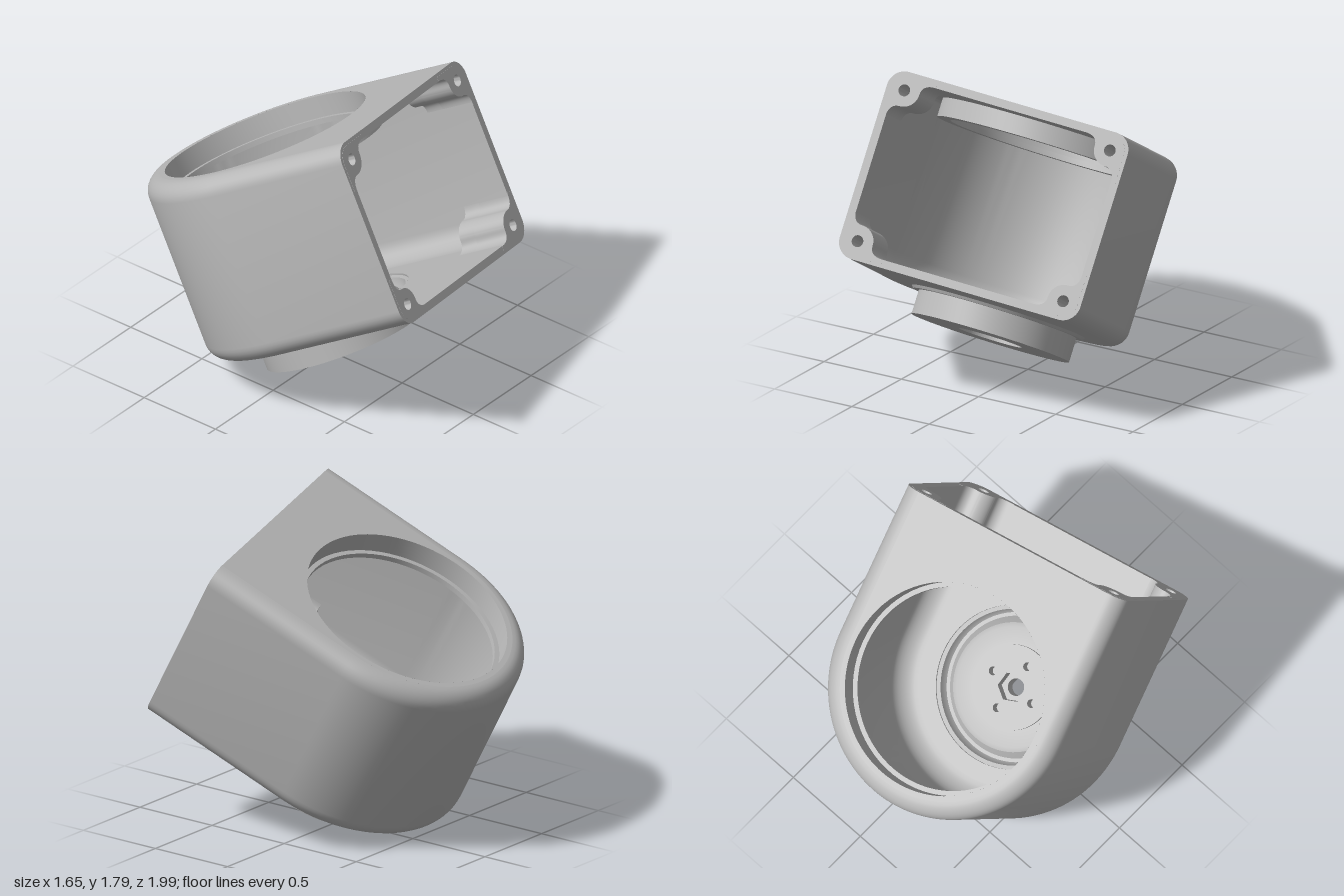
import * as THREE from 'three';
import { toCreasedNormals } from 'three/addons/utils/BufferGeometryUtils.js';

const R = 0.715, H = 0.535;      // outer half width and half height
const RI = 0.67, HI = 0.49;      // inner half width and half height
const C = 0.894;                 // distance from the open face back to the cylinder axis

// D outline: flat at the open face, half circle at the back
function dShape(r, hole) {
  const s = new THREE.Shape();
  s.moveTo(r, 0);
  s.lineTo(r, C);
  s.absarc(0, C, r, 0, Math.PI, false);
  s.lineTo(-r, 0);
  s.closePath();
  s.holes.push(new THREE.Path().absarc(0, C, hole, 0, Math.PI * 2, true));
  return s;
}

// Flat D-shaped plate with a round hole, facing up or down
function dPlate(r, hole, y, up) {
  const g = new THREE.ShapeGeometry(dShape(r, hole), 48);
  if (up) g.rotateX(-Math.PI / 2);
  else g.rotateX(Math.PI / 2).scale(1, 1, 1).rotateZ(Math.PI).rotateX(Math.PI).rotateZ(0);
  // keep the plate running towards -z from the open face
  g.computeBoundingBox();
  if (g.boundingBox.max.z > 0.1) g.rotateY(Math.PI);
  return g.translate(0, y, 0);
}

// Wall swept round the D from a profile of [radius, height] pairs
function dWall(profile) {
  const arc = 56, cols = arc + 2, rows = profile.length - 1;
  const g = new THREE.PlaneGeometry(1, 1, cols, rows);
  const p = g.attributes.position;
  profile.forEach(([r, y], j) => {
    for (let i = 0; i <= cols; i++) {
      const a = Math.PI * (i - 1) / arc, k = j * (cols + 1) + i;
      if (i === 0) p.setXYZ(k, r, y, 0);
      else if (i === cols) p.setXYZ(k, -r, y, 0);
      else p.setXYZ(k, r * Math.cos(a), y, -C - r * Math.sin(a));
    }
  });
  return toCreasedNormals(g, 0.5);
}

// Wall profile with rounded top and bottom edges
function wallProfile(r, h, top, bottom) {
  const pts = [], n = 8;
  for (let i = 0; i <= n; i++) {
    const a = Math.PI / 2 * (1 - i / n);
    pts.push([r - top + top * Math.cos(a), h - top + top * Math.sin(a)]);
  }
  for (let i = 0; i <= n; i++) {
    const a = -Math.PI / 2 * i / n;
    pts.push([r - bottom + bottom * Math.cos(a), -h + bottom + bottom * Math.sin(a)]);
  }
  return pts;
}

function roundedRect(path, w, h, r) {
  path.moveTo(w, -h + r);
  path.absarc(w - r, h - r, r, 0, Math.PI / 2, false);
  path.absarc(-w + r, h - r, r, Math.PI / 2, Math.PI, false);
  path.absarc(-w + r, -h + r, r, Math.PI, Math.PI * 1.5, false);
  path.absarc(w - r, -h + r, r, Math.PI * 1.5, Math.PI * 2, false);
  return path;
}

function circle(x, y, r) {
  return new THREE.Path().absarc(x, y, r, 0, Math.PI * 2, true);
}

function hexagon(r, turn = 0) {
  const pts = [];
  for (let i = 0; i < 6; i++) {
    const a = turn - i * Math.PI / 3;
    pts.push(new THREE.Vector2(r * Math.cos(a), r * Math.sin(a)));
  }
  return new THREE.Path(pts);
}

function lathe(points) {
  const g = new THREE.LatheGeometry(points.map(([x, y]) => new THREE.Vector2(x, y)), 72);
  return toCreasedNormals(g, 0.5).translate(0, 0, -C);
}

// Corner screw post section around its screw; sx, sy point towards the corner
function postShape(hole, sx, sy) {
  const s = new THREE.Shape();
  s.moveTo(-0.06, 0.17);
  s.quadraticCurveTo(-0.06, 0.09, 0, 0.09);
  s.absarc(0, 0, 0.09, Math.PI / 2, 0, true);
  s.quadraticCurveTo(0.09, -0.06, 0.17, -0.06);
  s.lineTo(0.17, -0.085);
  s.lineTo(0, -0.085);
  s.absarc(0, 0, 0.085, -Math.PI / 2, -Math.PI, true);
  s.lineTo(-0.085, 0.17);
  const flip = (pts) => pts.map((q) => new THREE.Vector2(-sx * q.x, -sy * q.y));
  const out = new THREE.Shape(flip(s.getPoints(10)));
  out.holes.push(new THREE.Path(flip(hole.getPoints(20))));
  return out;
}

function extrude(shape, depth) {
  const g = new THREE.ExtrudeGeometry(shape, { depth, bevelEnabled: false, curveSegments: 32 });
  return toCreasedNormals(g, 0.5);
}

export function createModel() {
  const grey = new THREE.MeshStandardMaterial({ color: 0xb6b6b6, side: THREE.DoubleSide });
  grey.name = 'plain grey';
  const root = new THREE.Group();
  root.name = 'housing';
  const body = new THREE.Group();
  body.name = 'tiltedBody';
  root.add(body);
  const add = (name, geo) => {
    const m = new THREE.Mesh(geo, grey);
    m.name = name;
    body.add(m);
    return m;
  };

  // Shell: outer and inner skins
  add('outerWall', dWall(wallProfile(R, H, 0.1, 0.1)));
  add('innerWall', dWall(wallProfile(RI, HI, 0.03, 0.12).reverse()));
  add('lid', dPlate(R - 0.1, 0.585, H, true));
  add('ceiling', dPlate(RI - 0.03, 0.635, HI, false));
  add('floor', dPlate(RI - 0.12, 0.45, -HI, true));
  add('underside', dPlate(R - 0.1, 0.45, -H, false));

  // Rim of the open face
  const rim = roundedRect(new THREE.Shape(), R, H, 0.1);
  rim.holes.push(roundedRect(new THREE.Path(), RI, HI, 0.03));
  add('openingRim', new THREE.ShapeGeometry(rim, 12));

  // Stepped collar hanging from the round lid opening
  add('lidCollar', lathe([[0.585, H], [0.585, 0.415], [0.558, 0.415], [0.558, 0.385],
    [0.635, 0.385], [0.635, HI]]));

  // Round foot with counterbore, inner groove and raised outer ring
  add('foot', lathe([[0.45, -HI], [0.45, -0.5], [0.428, -0.505], [0.42, -0.535], [0.41, -0.55],
    [0.39, -0.55], [0.375, -0.53], [0.355, -0.505], [0.33, -0.495], [0.235, -0.495], [0.235, -0.54],
    [0.048, -0.54], [0.048, -0.61], [0.178, -0.61], [0.178, -0.685], [0.45, -0.685], [0.45, -0.55],
    [0.482, -0.55], [0.495, -H]]));

  // Hub with hexagonal pocket and four screw holes
  const hub = new THREE.Shape().absarc(0, 0, 0.235, 0, Math.PI * 2, false);
  hub.holes.push(hexagon(0.085, Math.PI / 2));
  for (let i = 0; i < 4; i++) {
    const a = i * Math.PI / 2;
    hub.holes.push(circle(0.143 * Math.cos(a), 0.143 * Math.sin(a), 0.024));
  }
  add('hub', extrude(hub, 0.06).rotateX(-Math.PI / 2).rotateY(-0.21).translate(0, -0.54, -C));

  // Corner screw posts with nut pockets at the back
  for (const sx of [-1, 1]) for (const sy of [-1, 1]) {
    const x = sx * 0.611, y = sy * 0.431;
    add('screwPost', extrude(postShape(circle(0, 0, 0.033), sx, sy), 0.2).translate(x, y, -0.199));
    add('nutPocket', extrude(postShape(hexagon(0.055), sx, sy), 0.1).translate(x, y, -0.299));
  }

  // Resting pose
  const v = new THREE.Vector3(0.972, -0.146, -0.1825).normalize();
  const u = new THREE.Vector3(0.039, 0.873, -0.486).normalize();
  const w = new THREE.Vector3().crossVectors(v, u).normalize();
  u.crossVectors(w, v);
  body.quaternion.setFromRotationMatrix(new THREE.Matrix4().makeBasis(v, u, w));
  body.position.set(0.1115, 1.236, 0.6215);
  return root;
}
